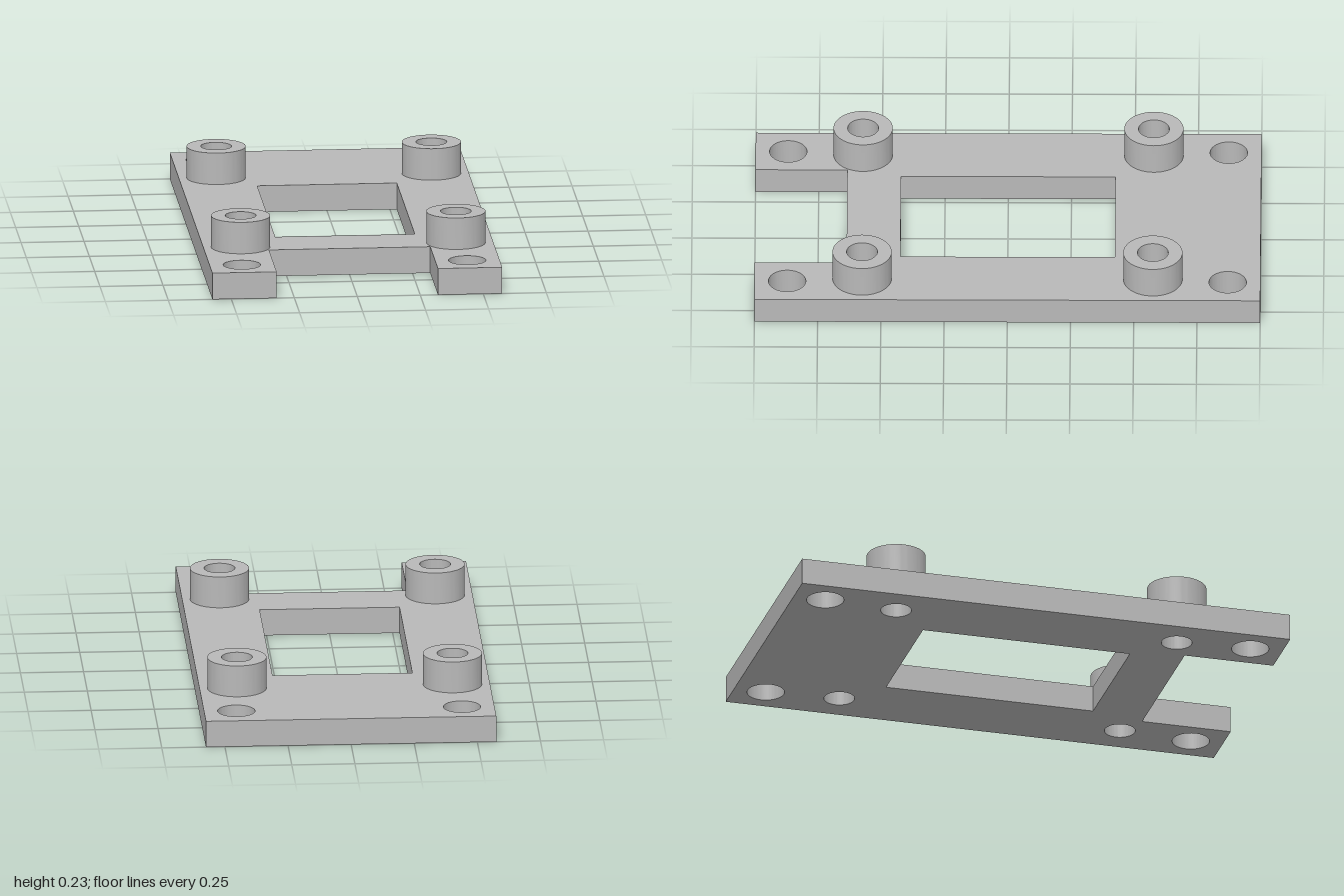
import * as THREE from 'three';
import { toCreasedNormals } from 'three/addons/utils/BufferGeometryUtils.js';

const PLATE_H = 0.107, TOP = 0.235;
const BOSS = { x: 0.427, z: 0.575, r: 0.117, bore: 0.061 };
const CORNER = { x: 0.447, z: 0.871, r: 0.074 };
const SIDES = [[-1, -1], [1, -1], [-1, 1], [1, 1]];

function circle(x, y, r) {
  return new THREE.Path().absarc(x, y, r, 0, Math.PI * 2, true);
}

// Extrude a plan outline upwards; shape y becomes -z
function extrudeUp(shape, height) {
  const geo = new THREE.ExtrudeGeometry(shape, { depth: height, bevelEnabled: false, curveSegments: 40 });
  geo.rotateX(-Math.PI / 2);
  return toCreasedNormals(geo, 0.6);
}

export function createModel() {
  const model = new THREE.Group();
  model.name = 'mountingBracket';
  const grey = new THREE.MeshStandardMaterial({ color: 0xb8b8b8 });
  grey.name = 'grey';

  // Base plate with front notch, central window and eight holes
  const outline = new THREE.Shape([
    [-0.575, 1], [-0.575, -1], [-0.32, -1], [-0.32, -0.637],
    [0.32, -0.637], [0.32, -1], [0.575, -1], [0.575, 1],
  ].map(([x, y]) => new THREE.Vector2(x, y)));
  outline.holes.push(new THREE.Path([
    [-0.277, -0.424], [-0.277, 0.424], [0.277, 0.424], [0.277, -0.424],
  ].map(([x, y]) => new THREE.Vector2(x, y))));
  for (const [sx, sz] of SIDES) {
    outline.holes.push(circle(sx * CORNER.x, -sz * CORNER.z, CORNER.r));
    outline.holes.push(circle(sx * BOSS.x, -sz * BOSS.z, BOSS.bore));
  }
  const plate = new THREE.Mesh(extrudeUp(outline, PLATE_H), grey);
  plate.name = 'basePlate';
  model.add(plate);

  // Four hollow standoffs
  const ring = new THREE.Shape().absarc(0, 0, BOSS.r, 0, Math.PI * 2, false);
  ring.holes.push(circle(0, 0, BOSS.bore));
  const bossGeo = extrudeUp(ring, TOP - PLATE_H);
  for (const [sx, sz] of SIDES) {
    const boss = new THREE.Mesh(bossGeo, grey);
    boss.name = (sz > 0 ? 'front' : 'back') + (sx > 0 ? 'Left' : 'Right') + 'Standoff';
    boss.position.set(sx * BOSS.x, PLATE_H, sz * BOSS.z);
    model.add(boss);
  }
  return model;
}
